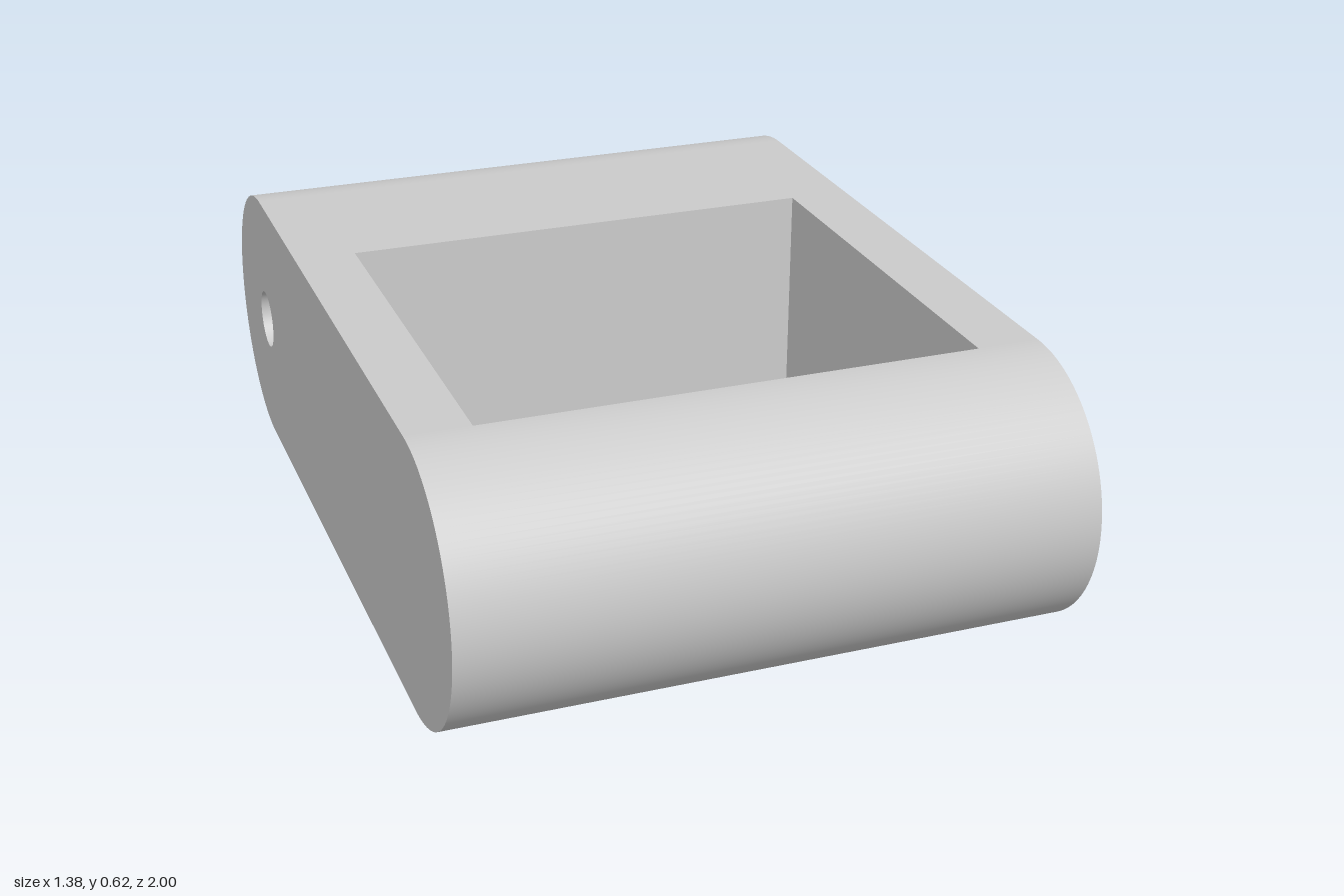
import * as THREE from 'three';

const R = 0.31;        // end radius = half height
const STRAIGHT = 0.69; // z of the rounded-end axes
const HALF_W = 0.69;   // half width in x
const WIN_X = 0.55;    // window half width
const WIN_BACK = -0.28;
const WIN_FRONT = STRAIGHT;
const BORE_R = 0.07;
const SEG = 64;

// Turn a solid's surface inside out so it lines a cavity
function inward(geometry) {
  geometry.setIndex(Array.from(geometry.index.array).reverse());
  const n = geometry.attributes.normal;
  for (let i = 0; i < n.count; i++) n.setXYZ(i, -n.getX(i), -n.getY(i), -n.getZ(i));
  geometry.clearGroups();
  return geometry;
}

// Open (part-)cylinder lying along x
function tubeAlongX(radius, start, sweep, z) {
  return new THREE.CylinderGeometry(radius, radius, 2 * HALF_W, SEG, 1, true, start, sweep)
    .rotateZ(Math.PI / 2).translate(0, R, z);
}

export function createModel() {
  const model = new THREE.Group();
  model.name = 'linkBlock';
  const material = new THREE.MeshStandardMaterial({ color: 0xcccccc });
  const add = (name, geometry) => {
    const mesh = new THREE.Mesh(geometry, material);
    mesh.name = name;
    model.add(mesh);
  };

  // Rounded ends
  add('frontRoundedEnd', tubeAlongX(R, -Math.PI / 2, Math.PI, STRAIGHT));
  add('backRoundedEnd', tubeAlongX(R, Math.PI / 2, Math.PI, -STRAIGHT));

  for (const s of [1, -1]) {
    // Flat side: stadium outline with the pin hole
    const side = new THREE.Shape();
    side.absarc(STRAIGHT, 0, R, -Math.PI / 2, Math.PI / 2, false);
    side.absarc(-STRAIGHT, 0, R, Math.PI / 2, 1.5 * Math.PI, false);
    side.closePath();
    side.holes.push(new THREE.Path().absarc(s * STRAIGHT, 0, BORE_R, 0, 2 * Math.PI, true));
    add(s > 0 ? 'leftSide' : 'rightSide',
      new THREE.ShapeGeometry(side, SEG / 2).rotateY(s * Math.PI / 2).translate(s * HALF_W, R, 0));

    // Flat top and bottom: U shape around the window, which ends where the front curve starts
    const outline = [
      [-HALF_W, -STRAIGHT], [HALF_W, -STRAIGHT], [HALF_W, STRAIGHT], [WIN_X, WIN_FRONT],
      [WIN_X, WIN_BACK], [-WIN_X, WIN_BACK], [-WIN_X, WIN_FRONT], [-HALF_W, STRAIGHT],
    ].map(([x, z]) => new THREE.Vector2(x, -s * z));
    add(s > 0 ? 'topFace' : 'bottomFace',
      new THREE.ShapeGeometry(new THREE.Shape(outline))
        .rotateX(-s * Math.PI / 2).translate(0, R + s * R, 0));
  }

  // Window walls: a box without top and bottom, facing inward
  const walls = new THREE.BoxGeometry(2 * WIN_X, 2 * R, WIN_FRONT - WIN_BACK);
  const index = Array.from(walls.index.array);
  index.splice(12, 12);
  walls.setIndex(index);
  add('windowWalls', inward(walls).translate(0, R, (WIN_FRONT + WIN_BACK) / 2));

  // Pin bore through the back end
  add('pinBore', inward(tubeAlongX(BORE_R, 0, 2 * Math.PI, -STRAIGHT)));

  return model;
}
